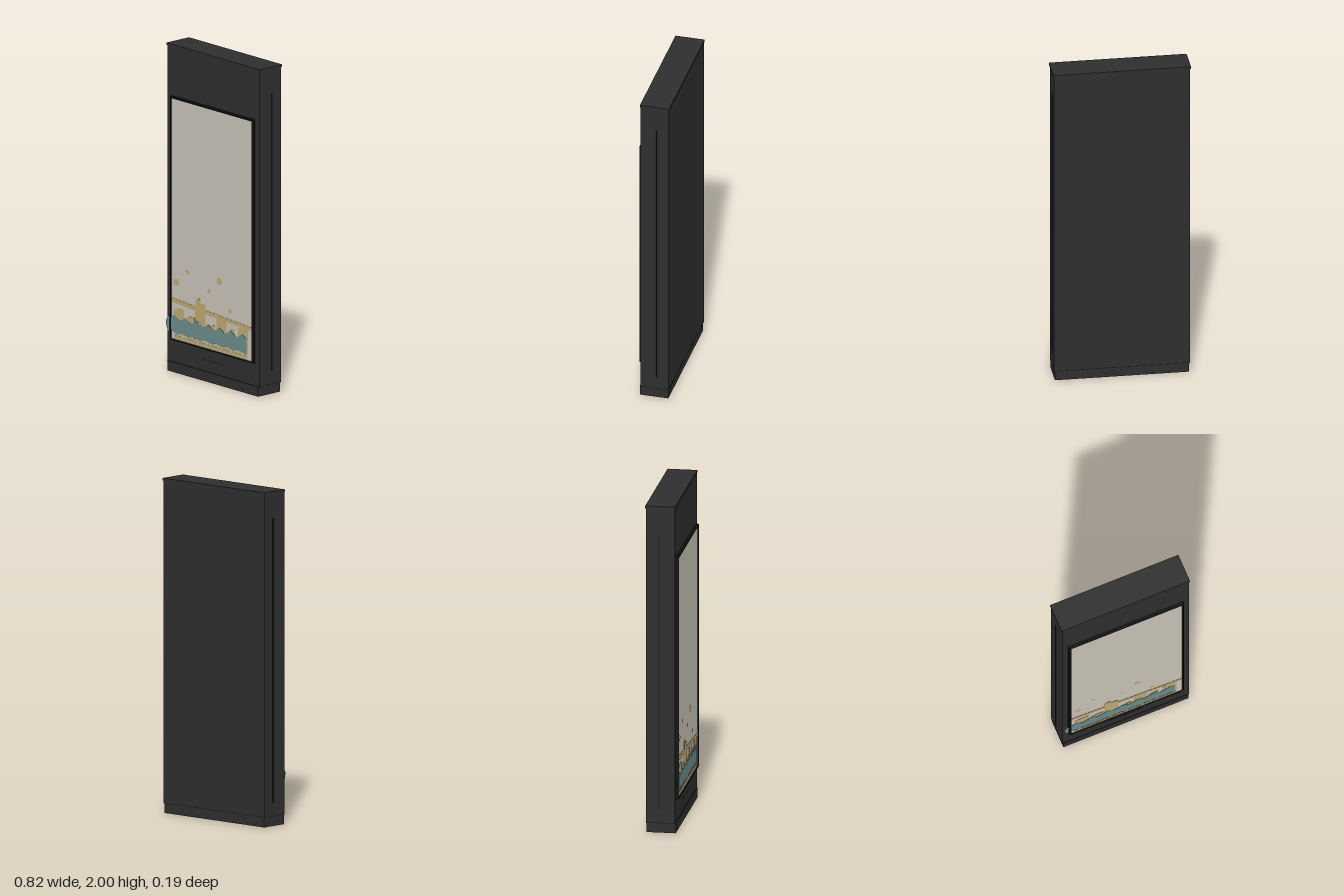
import * as THREE from 'three';

const mat = (name, color) => {
  const m = new THREE.MeshStandardMaterial({ color });
  m.name = name;
  return m;
};

export function createModel() {
  const group = new THREE.Group();
  const charcoal = mat('charcoal', 0x2e2e2f);
  const black = mat('black', 0x1a1a1b);
  const cream = mat('screen cream', 0xc9c4b8);
  const tan = mat('tan', 0xbfa873);
  const teal = mat('teal', 0x6a8c8b);

  const add = (name, geometry, material) => {
    const mesh = new THREE.Mesh(geometry, material);
    mesh.name = name;
    group.add(mesh);
    return mesh;
  };
  // Box given by its low and high corners
  const box = (name, m, x0, x1, y0, y1, z0, z1) =>
    add(name, new THREE.BoxGeometry(x1 - x0, y1 - y0, z1 - z0), m)
      .position.set((x0 + x1) / 2, (y0 + y1) / 2, (z0 + z1) / 2);
  // Thin plate cut from an outline
  const plate = (name, m, points, z, depth = 0.0015) => {
    const shape = new THREE.Shape(points.map(([x, y]) => new THREE.Vector2(x, y)));
    return add(name, new THREE.ExtrudeGeometry(shape, { depth, bevelEnabled: false }), m)
      .position.z = z;
  };
  const rect = (x0, x1, y0, y1) => [[x0, y0], [x1, y0], [x1, y1], [x0, y1]];

  // Cabinet
  box('base', charcoal, -0.4, 0.4, 0, 0.06, -0.09, 0.084);
  box('body', charcoal, -0.405, 0.405, 0.06, 1.985, -0.093, 0.079);
  box('topCap', charcoal, -0.41, 0.41, 1.985, 2, -0.097, 0.081);
  box('baseSeam', black, -0.4055, 0.4055, 0.058, 0.062, -0.0935, 0.0795);
  for (const s of [-1, 1]) {
    box('sideStrip', black, s * 0.407 - 0.003, s * 0.407 + 0.003, 0.14, 1.84, -0.022, -0.016);
  }
  box('frontSlot', black, -0.1, 0.1, 0.128, 0.132, 0.078, 0.08);

  // Stepped screen frame
  const frame = (name, w, y0, y1, z0, z1) => {
    const shape = new THREE.Shape(rect(-w, w, y0, y1).map(p => new THREE.Vector2(...p)));
    shape.holes.push(new THREE.Path(rect(-0.355, 0.355, 0.206, 1.675).map(p => new THREE.Vector2(...p))));
    const g = new THREE.ExtrudeGeometry(shape, { depth: z1 - z0, bevelEnabled: false });
    add(name, g, black).position.z = z0;
  };
  frame('frameBack', 0.368, 0.195, 1.686, 0.079, 0.088);
  frame('frameFront', 0.362, 0.199, 1.682, 0.088, 0.097);
  box('screen', cream, -0.355, 0.355, 0.206, 1.675, 0.079, 0.091);

  // Tan picture: sloping rail, posts, bubbles
  const zTan = 0.0912;
  plate('rail', tan, [[-0.355, 0.43], [0.355, 0.39], [0.355, 0.412], [-0.355, 0.457]], zTan);
  const posts = [
    [-0.33, -0.245, 0.4], [-0.23, -0.15, 0.37], [-0.145, -0.055, 0.44],
    [0.045, 0.13, 0.42], [0.14, 0.2, 0.365], [0.23, 0.32, 0.4], [-0.02, 0.03, 0.36],
  ];
  for (const [x0, x1, top] of posts) {
    plate('post', tan, [[x0, 0.24], [x1, 0.24], [x1, top], [x0 + 0.03, top], [x0, top - 0.015]], zTan);
  }
  plate('postFinger', tan, [[-0.14, 0.42], [-0.098, 0.42], [-0.098, 0.485], [-0.11, 0.497], [-0.128, 0.497], [-0.14, 0.485]], zTan);
  plate('postFinger', tan, [[-0.098, 0.42], [-0.055, 0.42], [-0.055, 0.465], [-0.075, 0.475], [-0.098, 0.465]], zTan);
  plate('lowerBand', tan, rect(-0.33, 0.315, 0.21, 0.232), zTan);
  const bubbles = [
    [-0.31, 0.558, 0.022], [-0.214, 0.64, 0.015], [0.067, 0.638, 0.023],
    [-0.025, 0.56, 0.013], [0.162, 0.475, 0.014],
  ];
  for (const [x, y, r] of bubbles) {
    add('bubble', new THREE.CircleGeometry(r, 14), tan).position.set(x, y, zTan + 0.0015);
  }

  // Teal wavy band with jagged crests, running past the frame on the left
  const crest = [[-0.355, 0.335]];
  const trough = [[-0.355, 0.262]];
  for (let i = 0; i < 7; i++) {
    const x = -0.33 + i * 0.1;
    crest.push([x, 0.356], [x + 0.035, 0.338], [x + 0.04, 0.328], [Math.min(x + 0.07, 0.308), 0.338]);
    trough.push([x, 0.247], [x + 0.03, 0.239], [Math.min(x + 0.065, 0.308), 0.253]);
  }
  plate('wave', teal, [...trough, ...crest.reverse()], 0.0935);
  plate('waveTip', teal, [
    [-0.368, 0.25], [-0.368, 0.335], [-0.382, 0.343], [-0.388, 0.325],
    [-0.4, 0.31], [-0.396, 0.275], [-0.388, 0.262], [-0.385, 0.24],
  ].reverse(), 0.0935);

  return group;
}
